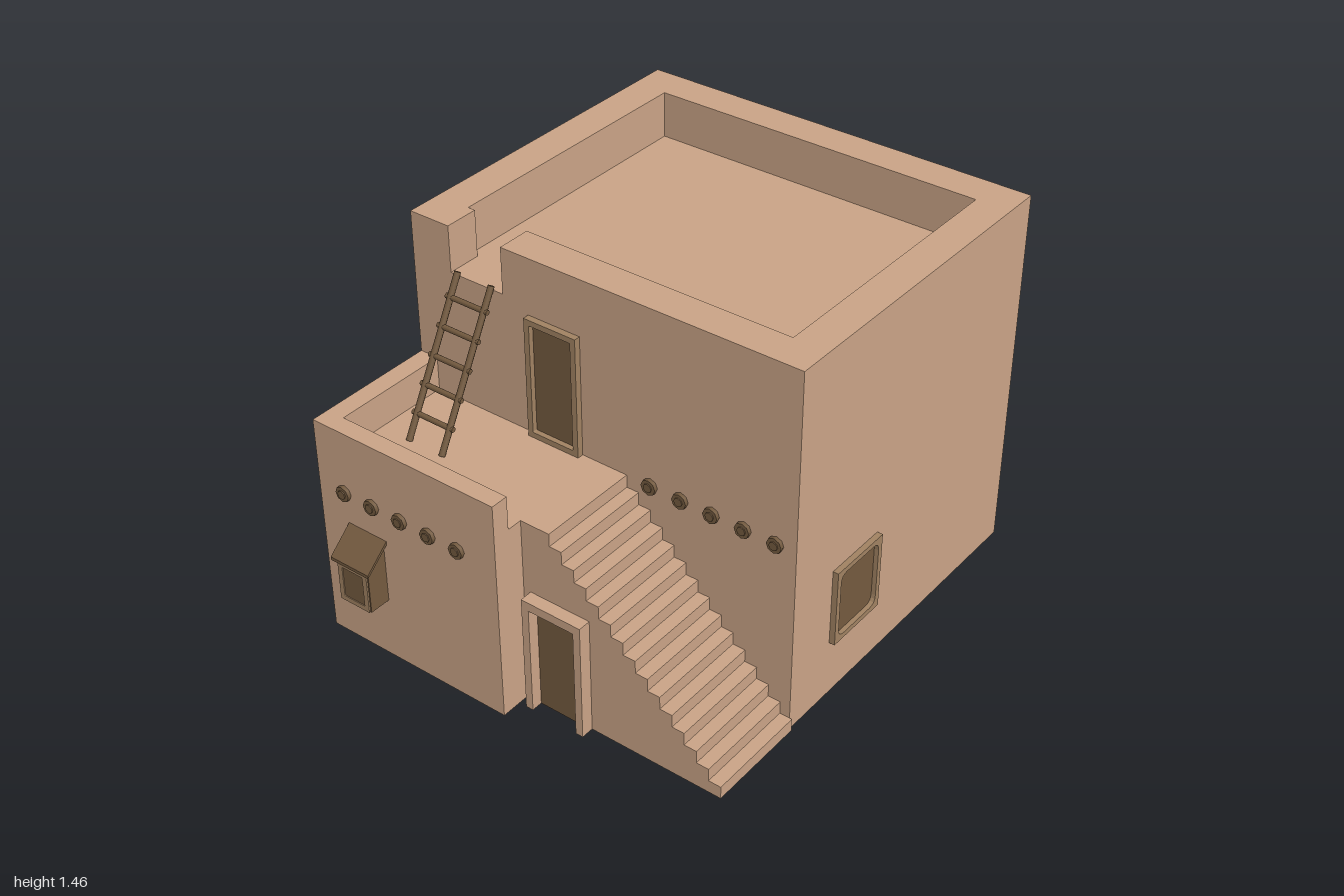
import * as THREE from 'three';

const ROOF = 1.275, TOP = 1.455, DECK = 0.76, SIDE = -0.365;

export function createModel() {
  const model = new THREE.Group();
  model.name = 'adobeHouse';
  const material = (name, color, side = THREE.FrontSide) => {
    const m = new THREE.MeshStandardMaterial({ color, side });
    m.name = name;
    return m;
  };
  const clay = material('clay', 0xc9a386, THREE.DoubleSide);
  const trim = material('trim', 0xa08262);
  const wood = material('wood', 0x735a3f);

  const add = (name, geometry, mat, parent = model) => {
    const mesh = new THREE.Mesh(geometry, mat);
    mesh.name = name;
    parent.add(mesh);
    return mesh;
  };
  const shapeOf = (pts) => new THREE.Shape(pts.map(([a, b]) => new THREE.Vector2(a, b)));
  const rect = (a0, a1, b0, b1) => [[a0, b0], [a1, b0], [a1, b1], [a0, b1]];

  // Flat wall sheet: points are (z,y) for axis x, (x,z) for axis y, (x,y) for axis z
  function sheet(name, axis, at, sign, pts) {
    const g = new THREE.ShapeGeometry(shapeOf(pts));
    const p = g.attributes.position;
    for (let i = 0; i < p.count; i++) {
      const a = p.getX(i), b = p.getY(i);
      if (axis === 'x') p.setXYZ(i, at, b, a);
      else if (axis === 'y') p.setXYZ(i, a, at, b);
      else p.setXYZ(i, a, b, at);
    }
    if (sign !== (axis === 'z' ? 1 : -1)) g.index.array.reverse();
    g.computeVertexNormals();
    return add(name, g, clay);
  }

  // Upright solid from an (x,z) outline
  function rim(name, y0, y1, pts) {
    const g = new THREE.ExtrudeGeometry(shapeOf(pts.map(([x, z]) => [x, -z])),
      { depth: y1 - y0, bevelEnabled: false });
    g.rotateX(-Math.PI / 2).translate(0, y0, 0);
    return add(name, g, clay);
  }

  // Round pole between two points
  function pole(name, from, to, radius, sides, parent = model) {
    const a = new THREE.Vector3(...from), b = new THREE.Vector3(...to);
    const mesh = add(name, new THREE.CylinderGeometry(radius, radius, a.distanceTo(b), sides), wood, parent);
    mesh.position.copy(a).add(b).multiplyScalar(0.5);
    mesh.quaternion.setFromUnitVectors(new THREE.Vector3(0, 1, 0), b.sub(a).normalize());
    return mesh;
  }

  // Frame with a rounded opening and a panel, facing local +z, standing on y = 0
  function opening(name, w, h, depth, border, radius, frameMat) {
    const group = new THREE.Group();
    group.name = name;
    const shape = shapeOf(rect(-w / 2, w / 2, 0, h));
    const x = w / 2 - border, y0 = border, y1 = h - border, r = radius;
    const hole = new THREE.Path();
    hole.moveTo(-x + r, y0).lineTo(x - r, y0).quadraticCurveTo(x, y0, x, y0 + r);
    hole.lineTo(x, y1 - r).quadraticCurveTo(x, y1, x - r, y1);
    hole.lineTo(-x + r, y1).quadraticCurveTo(-x, y1, -x, y1 - r);
    hole.lineTo(-x, y0 + r).quadraticCurveTo(-x, y0, -x + r, y0);
    shape.holes.push(hole);
    const frame = new THREE.ExtrudeGeometry(shape, { depth: depth + 0.004, bevelEnabled: false, curveSegments: 4 });
    add('frame', frame.translate(0, 0, -0.004), frameMat, group);
    add('panel', new THREE.BoxGeometry(w - border, h - border, 0.009).translate(0, h / 2, 0), wood, group);
    model.add(group);
    return group;
  }

  // Main house walls, open underneath
  sheet('frontWall', 'z', 0.79, 1, rect(SIDE, 1, 0, ROOF));
  sheet('leftWall', 'x', 1, 1, rect(-0.82, 0.79, 0, ROOF));
  sheet('backWall', 'z', -0.82, -1,
    [[-0.9, 0], [1, 0], [1, ROOF], [SIDE, ROOF], [SIDE, DECK], [-0.9, DECK]]);
  sheet('rightWall', 'x', SIDE, -1,
    [[-0.82, DECK], [-0.02, DECK], [-0.02, 0], [0.79, 0], [0.79, ROOF], [-0.82, ROOF]]);
  sheet('roof', 'y', ROOF, 1, rect(SIDE, 1, -0.82, 0.79));

  // Roof parapet with the ladder gap
  rim('roofParapet', ROOF, TOP, [
    [SIDE, -0.42], [SIDE, 0.79], [1, 0.79], [1, -0.82], [SIDE, -0.82], [SIDE, -0.65],
    [-0.23, -0.65], [-0.23, -0.68], [0.86, -0.68], [0.86, 0.655], [-0.23, 0.655], [-0.23, -0.42],
  ]);

  // Low annex with its terrace
  sheet('annexSideWall', 'x', -0.9, -1, rect(-0.82, -0.02, 0, DECK));
  sheet('annexFrontWall', 'z', -0.02, 1, rect(-0.9, -0.77, 0, DECK));
  sheet('terrace', 'y', DECK, 1, [[-0.9, -0.82], [SIDE, -0.82], [SIDE, 0.1],
    [-0.77, 0.1], [-0.77, -0.02], [-0.9, -0.02]]);
  rim('terraceParapet', DECK, 0.893, [[-0.9, -0.82], [SIDE, -0.82], [SIDE, -0.745],
    [-0.83, -0.745], [-0.83, -0.02], [-0.9, -0.02]]);

  // Staircase: risers, treads and the stepped side wall
  const steps = 15, rise = DECK / steps, run = 0.05;
  const profile = [[-0.02, 0], [0.8, 0]];
  for (let i = 0; i < steps; i++) {
    const z = 0.8 - i * run, y = (i + 1) * rise;
    sheet('stairRiser', 'z', z, 1, rect(-0.77, SIDE, i * rise, y));
    if (i < steps - 1) sheet('stairTread', 'y', y, 1, rect(-0.77, SIDE, z - run, z));
    profile.push([z, y]);
    profile.push([i < steps - 1 ? z - run : -0.02, y]);
  }
  sheet('stairSideWall', 'x', -0.77, -1, profile);

  // Front window and terrace door
  opening('frontWindow', 0.27, 0.31, 0.022, 0.021, 0.035, trim).position.set(-0.005, 0.23, 0.79);
  const terraceDoor = opening('terraceDoor', 0.22, 0.475, 0.025, 0.022, 0.004, trim);
  terraceDoor.position.set(SIDE, DECK, -0.2);
  terraceDoor.rotation.y = -Math.PI / 2;

  // Ground door under the stairs
  const door = new THREE.Group();
  door.name = 'groundDoor';
  model.add(door);
  for (const z of [0.025, 0.245]) {
    add('doorPost', new THREE.BoxGeometry(0.05, 0.475, 0.03).translate(-0.795, 0.2375, z), clay, door);
  }
  add('doorLintel', new THREE.BoxGeometry(0.05, 0.035, 0.25).translate(-0.795, 0.4575, 0.135), clay, door);
  add('doorPanel', new THREE.BoxGeometry(0.012, 0.44, 0.19).translate(-0.77, 0.22, 0.135), wood, door);

  // Beam ends poking through the walls
  for (let i = 0; i < 5; i++) {
    const rows = [[-0.9, 0.64, -0.7 + i * 0.1285], [SIDE, DECK, 0.2 + i * 0.1275]];
    for (const [x, y, z] of rows) {
      pole('beamEnd', [x + 0.005, y, z], [x - 0.015, y, z], 0.03, 8);
      pole('beamCore', [x, y, z], [x - 0.019, y, z], 0.017, 8);
    }
  }

  // Hooded side window
  const hood = new THREE.Group();
  hood.name = 'hoodedWindow';
  model.add(hood);
  const prism = (name, pts, z0, z1) => add(name, new THREE.ExtrudeGeometry(shapeOf(pts),
    { depth: z1 - z0, bevelEnabled: false }).translate(0, 0, z0), wood, hood);
  prism('box', [[-0.985, 0.25], [-0.9, 0.25], [-0.9, 0.495], [-0.985, 0.42]], -0.68, -0.535);
  prism('canopy', [[-1, 0.415], [-0.9, 0.5], [-0.9, 0.515], [-1, 0.428]], -0.695, -0.52);
  const hatch = opening('hatch', 0.135, 0.165, 0.008, 0.02, 0.004, trim);
  hatch.position.set(-0.983, 0.25, -0.6075);
  hatch.rotation.y = -Math.PI / 2;

  // Ladder from terrace to roof
  const ladder = new THREE.Group();
  ladder.name = 'ladder';
  model.add(ladder);
  for (const z of [-0.612, -0.462]) {
    pole('ladderRail', [-0.663, 0.762, z], [-0.372, 1.295, z], 0.012, 8, ladder);
  }
  for (let i = 0; i < 5; i++) {
    const x = -0.615 + i * 0.05, y = 0.762 + (x + 0.663) * (0.533 / 0.291);
    pole('ladderRung', [x, y, -0.63], [x, y, -0.445], 0.01, 8, ladder);
  }
  return model;
}
